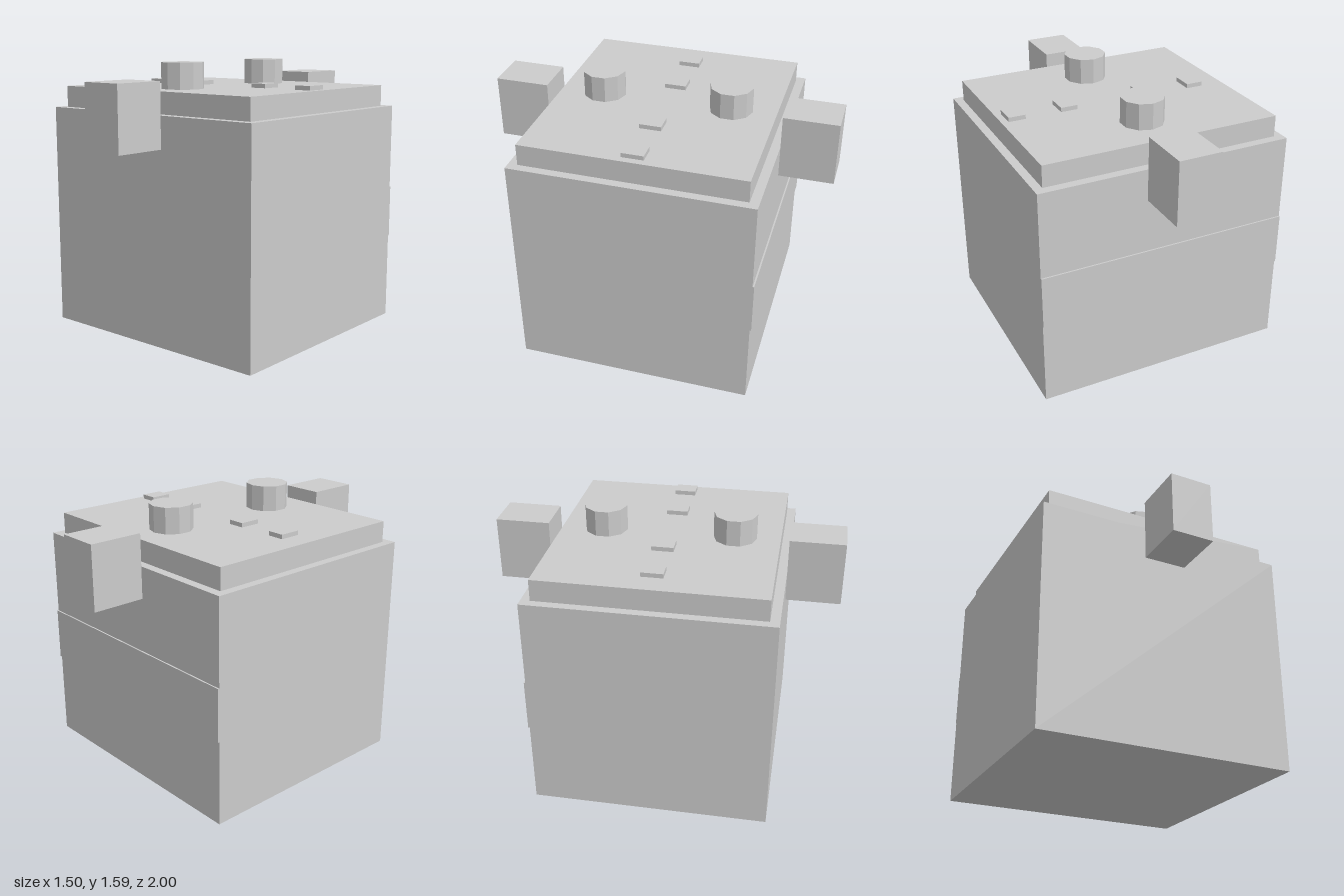
import * as THREE from 'three';

export function createModel() {
  const model = new THREE.Group();
  const material = new THREE.MeshStandardMaterial({ color: 0xcccccc, flatShading: true });

  function add(name, geometry, x, y, z) {
    const mesh = new THREE.Mesh(geometry, material);
    mesh.name = name;
    mesh.position.set(x, y, z);
    model.add(mesh);
  }

  // Box given by its size, its bottom height and its centre in x and z
  function box(name, w, h, d, x, bottom, z) {
    add(name, new THREE.BoxGeometry(w, h, d), x, bottom + h / 2, z);
  }

  // Main case and the stepped lid on top
  box('case', 1.5, 1.315, 1.375, 0, 0, 0);
  box('lid', 1.4, 0.125, 1.27, 0, 1.315, 0);

  // Thin raised band across the back
  box('backBand', 1.5, 0.31, 0.01, 0, 0.505, -0.6915);

  // Front and back: a handle block and a ten-sided terminal
  for (const [side, s] of [['front', 1], ['back', -1]]) {
    box(side + 'Handle', 0.25, 0.37, 0.3125, 0, 1.13, s * 0.84375);
    add(side + 'Terminal', new THREE.CylinderGeometry(0.124, 0.124, 0.15, 10), 0, 1.515, s * 0.375);
  }

  // Row of small vent caps
  for (const x of [-0.514, -0.2, 0.298, 0.61]) {
    box('ventCap', 0.1, 0.025, 0.125, x, 1.44, -0.003);
  }

  return model;
}
